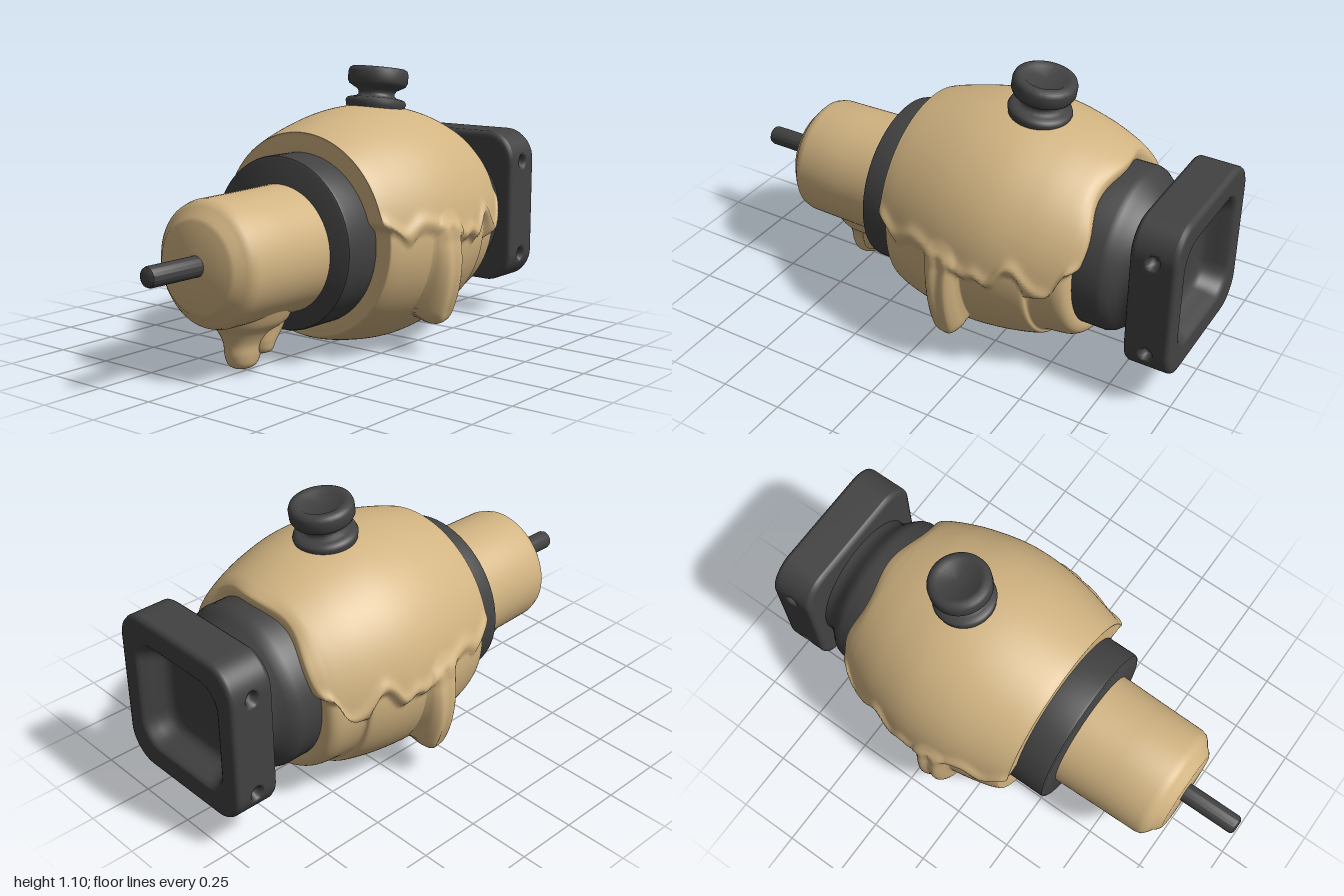
import * as THREE from 'three';
import { toCreasedNormals } from 'three/addons/utils/BufferGeometryUtils.js';

const tan = new THREE.MeshStandardMaterial({ color: 0xd2b482 });
tan.name = 'tan glaze';
const dark = new THREE.MeshStandardMaterial({ color: 0x424242 });
dark.name = 'charcoal';

const V = (x, y, z) => new THREE.Vector3(x, y, z);
const mix = THREE.MathUtils.lerp;
const clamp = (v) => Math.min(1, Math.max(0, v));
const TAU = Math.PI * 2;

// Skin over a list of closed rings that all have the same point count
function loft(rings) {
  const n = rings[0].length, pos = [], idx = [];
  rings.forEach((r) => r.forEach((p) => pos.push(p.x, p.y, p.z)));
  for (let i = 0; i < rings.length - 1; i++) {
    for (let j = 0; j < n; j++) {
      const k = (j + 1) % n, a = i * n + j, b = i * n + k;
      idx.push(a, b, a + n, b, b + n, a + n);
    }
  }
  const g = new THREE.BufferGeometry();
  g.setAttribute('position', new THREE.Float32BufferAttribute(pos, 3));
  g.setIndex(idx);
  g.computeVertexNormals();
  return g;
}

function lathe(points, crease = 0.6) {
  const g = new THREE.LatheGeometry(points.map(([r, h]) => new THREE.Vector2(r, h)), 72);
  return toCreasedNormals(g, crease);
}

// Turned part along x, profile given as [x, radius]
function turned(points, cy) {
  return lathe(points.map(([x, r]) => [r, x])).rotateZ(-Math.PI / 2).translate(0, cy, 0);
}

// Barrel: a bare profile and a glazed profile blended along a dripping edge
function barrelGeometry() {
  const curve = (pts) => new THREE.SplineCurve(pts.map(([x, r]) => new THREE.Vector2(x, r)));
  const glazed = curve([[-0.17, 0.25], [-0.18, 0.38], [-0.165, 0.405], [0, 0.45], [0.15, 0.473],
    [0.3, 0.472], [0.45, 0.442], [0.56, 0.405], [0.62, 0.375], [0.64, 0.345], [0.62, 0.28]]);
  const bare = curve([[-0.14, 0.25], [-0.15, 0.38], [-0.13, 0.415], [0, 0.448], [0.15, 0.465],
    [0.3, 0.455], [0.44, 0.427], [0.47, 0.402], [0.57, 0.387], [0.605, 0.35], [0.6, 0.28]]);
  const lobes = [[-0.08, 0.05, 0.05], [0.14, 0.05, 0.1], [0.24, 0.06, 0.05],
    [0.33, 0.09, 0.05], [0.5, 0.11, 0.055]];
  const cy = 0.47, steps = 180, around = 240, rings = [];
  for (let i = 0; i <= steps; i++) {
    const u = i / steps, a = bare.getPoint(u), b = glazed.getPoint(u), ring = [];
    for (let j = 0; j < around; j++) {
      const t = (j / around) * TAU, x = mix(a.x, b.x, 0.5), y = cy + b.y * Math.cos(t);
      const edge = lobes.reduce((e, [c, d, w]) => e - d * Math.exp(-(((x - c) / w) ** 2)), 0.515);
      // Long drip as a capsule, thickest towards its tip
      const dy = Math.max(0, 0.215 - y, y - 0.5);
      const drip = 0.072 - Math.hypot(x - 0.135, dy);
      const d = Math.max(y - edge, drip);
      const mask = THREE.MathUtils.smoothstep(d, 0, 0.045);
      const round = (v) => Math.sqrt(1 - (1 - clamp(v)) ** 2);
      const rim = 0.015 * Math.exp(-(((d - 0.035) / 0.03) ** 2)) * clamp((u - 0.12) * 12) * clamp((0.92 - u) * 12);
      const bulb = round(drip / 0.06) * (0.012 + 0.062 * clamp((0.46 - y) / 0.26)) * clamp((0.6 - y) / 0.1);
      const r = mix(a.y, b.y, mask) + rim * (d > 0 ? 1 : mask) + bulb;
      const ripple = 0.012 * Math.cos(6 * t) * clamp((u - 0.75) * 8) * mask;
      ring.push(V(mix(a.x, b.x, mask) + ripple, cy + r * Math.cos(t), r * Math.sin(t)));
    }
    rings.push(ring);
  }
  return loft(rings);
}

// Rounded square ring in the y-z plane, starting at the middle of its top edge
function squareRing(x, h, r, n = 240, hz = h) {
  const s = new THREE.Shape();
  s.moveTo(h, 0);
  s.lineTo(h, hz - r).absarc(h - r, hz - r, r, 0, Math.PI / 2);
  s.lineTo(-h + r, hz).absarc(-h + r, hz - r, r, Math.PI / 2, Math.PI);
  s.lineTo(-h, -hz + r).absarc(-h + r, -hz + r, r, Math.PI, Math.PI * 1.5);
  s.lineTo(h - r, -hz).absarc(h - r, -hz + r, r, Math.PI * 1.5, TAU);
  s.lineTo(h, 0);
  return s.getSpacedPoints(n).slice(0, n).map((p) => V(x, 0.475 + p.x, p.y));
}

// Square end plate with a dished face and two dimples on each side
function plateGeometry() {
  const rings = [squareRing(0.82, 0.001, 0.0005), squareRing(0.82, 0.295, 0.1),
    squareRing(0.82, 0.307, 0.11), squareRing(0.825, 0.317, 0.12)];
  for (let i = 0; i <= 28; i++) rings.push(squareRing(0.835 + (i / 28) * 0.15, 0.325, 0.125, 240, 0.32));
  rings.forEach((ring) => ring.forEach((p) => {
    if (Math.abs(p.z) < 0.3) return;
    for (const y of [0.265, 0.67]) {
      const d = Math.hypot(p.x - 0.91, p.y - y);
      p.z -= Math.sign(p.z) * 0.035 * (1 - THREE.MathUtils.smoothstep(d, 0.014, 0.03));
    }
  }));
  const face = [[0.995, 0.319, 0.12], [1, 0.308, 0.11], [1, 0.3, 0.105], [1, 0.245, 0.1],
    [0.996, 0.236, 0.098], [0.985, 0.227, 0.095], [0.95, 0.213, 0.09], [0.915, 0.2, 0.085],
    [0.9, 0.185, 0.08], [0.892, 0.165, 0.08], [0.888, 0.12, 0.06], [0.886, 0.001, 0.0005]];
  face.forEach(([x, h, r]) => {
    const inner = h < 0.25;
    rings.push(squareRing(x, inner ? h * 0.96 : h, r, 240, inner ? h : h - 0.002));
  });
  return loft(rings);
}

// Hanging drop made of elliptical rings: [y, x, z, half width, half depth]
function dropGeometry(sections) {
  const path = (k) => new THREE.SplineCurve(sections.map((s, i) => new THREE.Vector2(i, s[k])));
  const tracks = [0, 1, 2, 3, 4].map(path), rings = [];
  for (let i = 0; i <= 40; i++) {
    const [y, x, z, w, d] = tracks.map((c) => c.getPoint(i / 40).y);
    rings.push(Array.from({ length: 36 }, (_, j) => {
      const t = (j / 36) * TAU;
      return V(x + w * Math.cos(t), y, z + d * Math.sin(t));
    }));
  }
  return loft(rings);
}

export function createModel() {
  const model = new THREE.Group();
  model.name = 'dripBarrel';
  const add = (name, geometry, material) => {
    const mesh = new THREE.Mesh(geometry, material);
    mesh.name = name;
    model.add(mesh);
    return mesh;
  };

  add('barrel', barrelGeometry(), tan);

  // Narrow neck, its collar and the rod
  add('neck', turned([[-0.76, 0], [-0.76, 0.165], [-0.752, 0.18], [-0.735, 0.195], [-0.722, 0.215],
    [-0.705, 0.232], [-0.68, 0.239], [-0.5, 0.242], [-0.28, 0.247]], 0.437), tan);
  add('neckCollar', turned([[-0.31, 0], [-0.31, 0.325], [-0.305, 0.333], [-0.295, 0.336],
    [-0.17, 0.336], [-0.12, 0.336], [-0.12, 0.2]], 0.455), dark);
  add('rod', turned([[-1, 0], [-1, 0.026], [-0.994, 0.035], [-0.984, 0.039], [-0.74, 0.039]], 0.442), dark);

  // Drips under the neck
  add('neckDrip', dropGeometry([[0.27, -0.48, 0, 0.19, 0.16], [0.2, -0.48, 0, 0.165, 0.13],
    [0.165, -0.495, 0, 0.125, 0.095], [0.12, -0.51, 0, 0.09, 0.07], [0.075, -0.52, 0, 0.075, 0.062],
    [0.04, -0.523, 0, 0.06, 0.052], [0.024, -0.525, 0, 0.036, 0.033], [0.018, -0.525, 0, 0.001, 0.001]]), tan);
  for (const side of [1, -1]) {
    add('smallNeckDrip', dropGeometry([[0.25, -0.44, 0.05 * side, 0.1, 0.08], [0.18, -0.44, 0.05 * side, 0.07, 0.06],
      [0.12, -0.46, 0.05 * side, 0.047, 0.047], [0.085, -0.465, 0.048 * side, 0.034, 0.036],
      [0.07, -0.467, 0.048 * side, 0.001, 0.001]]), tan);
  }

  // Tapered collar and the square end plate
  add('plateCollar', turned([[0.56, 0.2], [0.56, 0.324], [0.7, 0.325], [0.722, 0.318], [0.745, 0.3],
    [0.765, 0.28], [0.785, 0.266], [0.805, 0.26], [0.84, 0.26]], 0.467), dark);
  add('endPlate', plateGeometry(), dark);

  // Tilted knob on top
  const knob = add('knob', lathe([[0.11, -0.05], [0.12, 0], [0.123, 0.012], [0.118, 0.025], [0.1, 0.031],
    [0.082, 0.034], [0.074, 0.042], [0.073, 0.052], [0.08, 0.063], [0.1, 0.074], [0.115, 0.083], [0.122, 0.096],
    [0.122, 0.132], [0.117, 0.146], [0.105, 0.153], [0.088, 0.154], [0.08, 0.148], [0, 0.146]], 0.9), dark);
  knob.position.set(0.285, 0.937, 0);
  knob.rotation.z = -0.15;

  return model;
}
